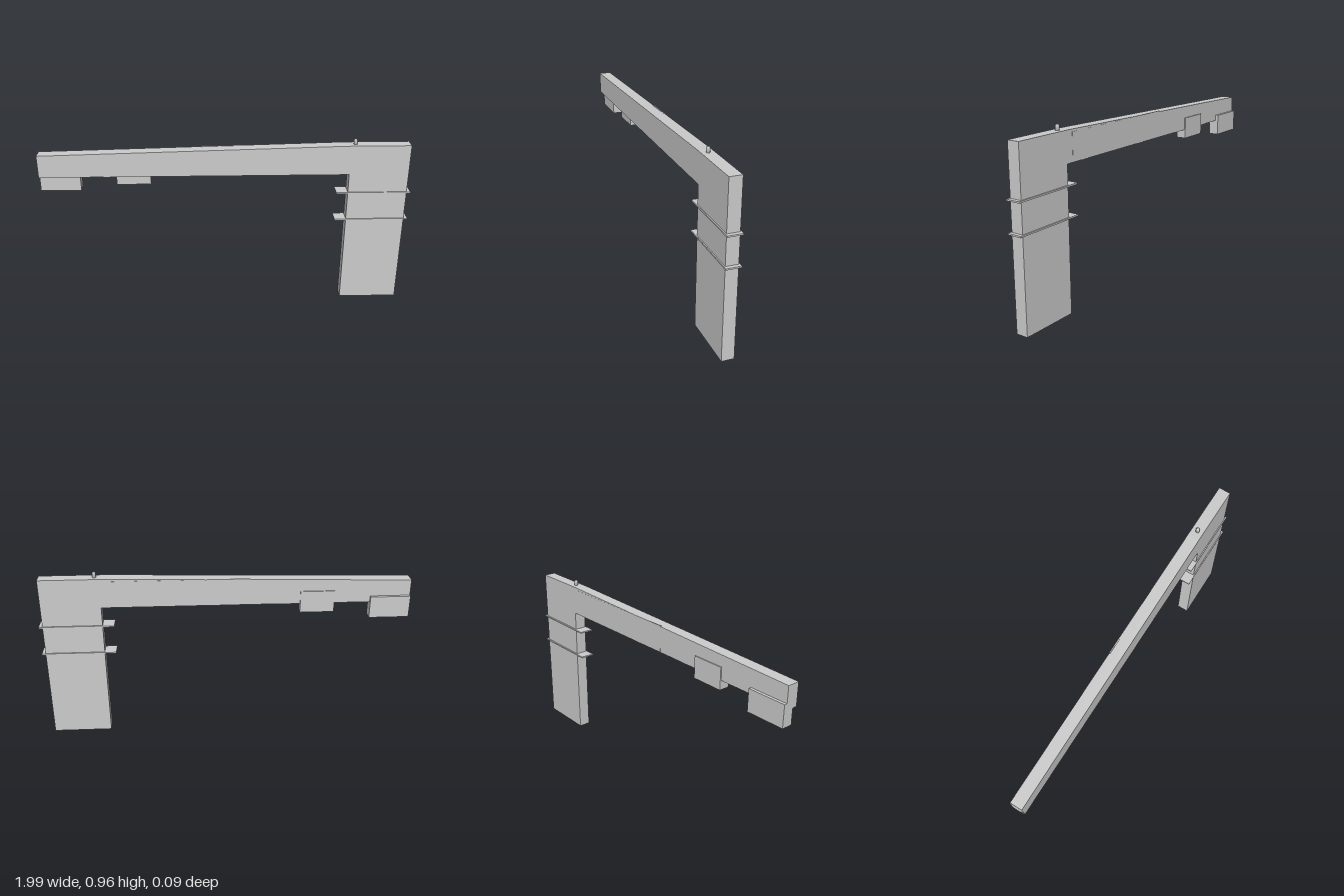
import * as THREE from 'three';

const grey = new THREE.MeshStandardMaterial({ color: 0xcccccc, flatShading: true });
const smooth = new THREE.MeshStandardMaterial({ color: 0xcccccc });

// Box given by its limits on each axis
function block(name, [x0, x1], [y0, y1], [z0, z1]) {
  const mesh = new THREE.Mesh(new THREE.BoxGeometry(x1 - x0, y1 - y0, z1 - z0), grey);
  mesh.position.set((x0 + x1) / 2, (y0 + y1) / 2, (z0 + z1) / 2);
  mesh.name = name;
  return mesh;
}

export function createModel() {
  const model = new THREE.Group();
  model.name = 'cantileverGantry';
  const back = -0.027, front = 0.039;

  // Post and tapering arm in one L-shaped slab
  const outline = new THREE.Shape([
    [0.66, 0], [0.98, 0], [0.98, 0.928], [0.64, 0.928],
    [-0.993, 0.888], [-0.993, 0.766], [0.66, 0.766],
  ].map(([x, y]) => new THREE.Vector2(x, y)));
  const frame = new THREE.Mesh(
    new THREE.ExtrudeGeometry(outline, { depth: front - back, bevelEnabled: false }), grey);
  frame.position.z = back;
  frame.name = 'postAndArm';
  model.add(frame);

  // Thin panel on the back of the arm, its corner rising above the slope
  model.add(block('backPanel', [-0.13, 0.62], [0.768, 0.914], [back - 0.0008, back + 0.005]));

  // Boxes hung behind and below the arm
  model.add(block('endBox', [-0.993, -0.777], [0.68, 0.80], [-0.043, 0.015]));
  model.add(block('innerBox', [-0.583, -0.4], [0.716, 0.836], [-0.033, 0.024]));

  // Flat collars round the post
  for (const y of [0.499, 0.659]) {
    model.add(block('collarPlate', [0.597, 1], [y - 0.004, y + 0.004], [-0.034, 0.045]));
  }

  // Shallow plates under the arm
  for (const x of [-0.65, -0.35, 0.03, 0.5]) {
    model.add(block('undersidePlate', [x, x + 0.055], [0.764, 0.768], [back + 0.002, front - 0.002]));
  }

  // Small peg on top, with a chamfered tip
  const profile = [[0, 0], [0.01, 0], [0.01, 0.024], [0.007, 0.03], [0, 0.03]]
    .map(([r, y]) => new THREE.Vector2(r, y));
  const peg = new THREE.Mesh(new THREE.LatheGeometry(profile, 16), smooth);
  peg.position.set(0.687, 0.927, 0.006);
  peg.name = 'topPeg';
  model.add(peg);

  return model;
}
